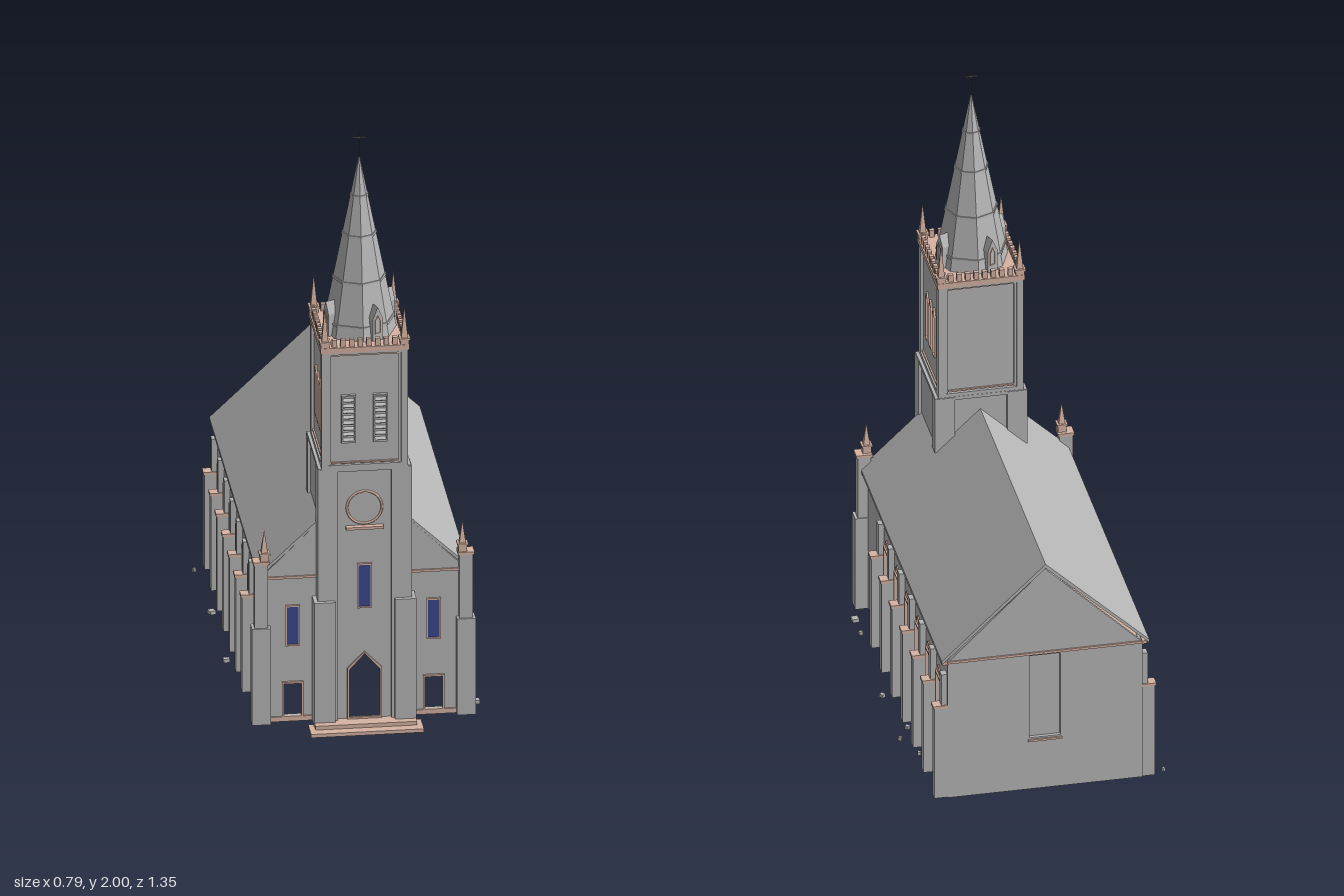
import * as THREE from 'three';

const mat = (name, color, side = THREE.FrontSide) => {
  const m = new THREE.MeshStandardMaterial({ color, side });
  m.name = name;
  return m;
};

export function createModel() {
  const stone = mat('stone', 0xb6b6b6, THREE.DoubleSide);
  const trim = mat('sandstone trim', 0xd6b3a3);
  const glass = mat('blue glass', 0x384a8c, THREE.DoubleSide);
  const dark = mat('dark iron', 0x555555);
  const root = new THREE.Group();
  root.name = 'church';

  const add = (parent, name, geo, material, x = 0, y = 0, z = 0) => {
    const m = new THREE.Mesh(geo, material);
    m.name = name;
    m.position.set(x, y, z);
    parent.add(m);
    return m;
  };
  // Box from its limits
  const box = (parent, name, material, x0, x1, y0, y1, z0, z1) =>
    add(parent, name, new THREE.BoxGeometry(Math.abs(x1 - x0), y1 - y0, z1 - z0),
      material, (x0 + x1) / 2, (y0 + y1) / 2, (z0 + z1) / 2);
  const group = (name, parent = root) => {
    const g = new THREE.Group();
    g.name = name;
    parent.add(g);
    return g;
  };
  const points = list => list.map(([x, y]) => new THREE.Vector2(x, y));
  // Pointed or square-headed outline, centred on x, standing on y
  const lancet = (x, y, w, h, p = 0) => {
    const a = [[x - w / 2, y], [x + w / 2, y], [x + w / 2, y + h]];
    if (p) a.push([x, y + h + p]);
    a.push([x - w / 2, y + h]);
    return points(a);
  };
  const plate = (outline, holes, depth) => {
    const s = new THREE.Shape(outline);
    holes.forEach(h => s.holes.push(new THREE.Path(h)));
    return new THREE.ExtrudeGeometry(s, { depth, bevelEnabled: false });
  };
  // Thin border around an opening
  const frame = (parent, name, x, y, w, h, p, z, t = 0.006, d = 0.008) =>
    add(parent, name, plate(lancet(x, y - t, w + 2 * t, h + 2 * t, p), [lancet(x, y, w, h, p)], d), trim, 0, 0, z);
  const pinnacle = (parent, x, y, z, r, h) => {
    box(parent, 'pinnacleBase', trim, x - r, x + r, y, y + h * 0.25, z - r, z + r);
    const cone = new THREE.ConeGeometry(r * 1.1, h * 0.75, 4).toNonIndexed();
    cone.rotateY(Math.PI / 4);
    cone.computeVertexNormals();
    add(parent, 'pinnacle', cone, trim, x, y + h * 0.625, z);
    box(parent, 'pinnacleCollar', trim, x - r * 1.25, x + r * 1.25, y + h * 0.22, y + h * 0.27, z - r * 1.25, z + r * 1.25);
  };

  // Nave side walls with paired windows and stepped buttresses
  const W = 0.315, Y0 = 0.012, EAVE = 0.508;
  const windowZ = [0.233, 0.074, -0.085, -0.243, -0.402, -0.556];
  const buttressZ = [0.31, 0.153, -0.005, -0.164, -0.323, -0.482, -0.647];
  for (const s of [1, -1]) {
    const side = group(s > 0 ? 'leftSide' : 'rightSide');
    side.rotation.y = s * Math.PI / 2;
    const u = z => -s * z;
    const holes = windowZ.map(z => lancet(u(z), 0.158, 0.076, 0.232));
    const ends = [u(-0.667), u(0.555)].sort((a, b) => a - b);
    add(side, 'naveWall', plate(points([[ends[0], Y0], [ends[1], Y0], [ends[1], EAVE], [ends[0], EAVE]]), holes, 0.008),
      stone, 0, 0, W - 0.008);
    for (const z of windowZ) {
      const c = u(z);
      frame(side, 'windowFrame', c, 0.158, 0.076, 0.232, 0, W);
      box(side, 'windowSill', trim, c - 0.047, c + 0.047, 0.148, 0.156, W, W + 0.014);
      box(side, 'mullion', trim, c - 0.004, c + 0.004, 0.158, 0.39, W - 0.022, W - 0.012);
      for (const k of [-1, 1]) {
        box(side, 'windowPane', glass, c + k * 0.004, c + k * 0.038, 0.158, 0.39, W - 0.022, W - 0.017);
        frame(side, 'windowHead', c + k * 0.019, 0.402, 0.028, 0.008, 0.014, W, 0.003, 0.004);
      }
    }
    for (const z of buttressZ) {
      const c = u(z);
      box(side, 'upperButtress', stone, c - 0.014, c + 0.014, 0.34, 0.462, W - 0.005, 0.334);
      box(side, 'lowerButtress', stone, c - 0.016, c + 0.016, Y0, 0.34, W - 0.005, 0.357);
      box(side, 'buttressCap', trim, c - 0.018, c + 0.018, 0.34, 0.35, W - 0.005, 0.361);
    }
    box(side, 'eaveMoulding', trim, ends[0], ends[1], EAVE - 0.008, EAVE + 0.003, W, W + 0.016);
  }

  // Rear gable with a recessed blind window
  const gable = points([[-W, Y0], [W, Y0], [W, EAVE], [0, 0.815], [-W, EAVE]]);
  add(root, 'rearWall', plate(gable, [lancet(0, 0.2, 0.1, 0.3)], 0.012), stone, 0, 0, -0.667);
  box(root, 'rearBlindPanel', stone, -0.055, 0.055, 0.195, 0.505, -0.654, -0.648);
  box(root, 'rearSill', trim, -0.055, 0.055, 0.187, 0.194, -0.672, -0.667);
  box(root, 'rearBand', trim, -W, W, 0.505, 0.513, -0.672, -0.667);

  // Pitched roof over a flat ceiling
  const roofShape = points([[0.336, 0.508], [0.336, 0.52], [0, 0.837], [-0.336, 0.52], [-0.336, 0.508], [0, 0.822]]);
  add(root, 'roof', plate(roofShape, [], 1.236), stone, 0, 0, -0.677);
  box(root, 'ceiling', trim, -W, W, 0.5, 0.506, -0.655, 0.3);

  // Front facade with side doors and windows
  const facade = group('facade');
  for (const s of [-1, 1]) {
    const wing = points([[s * 0.14, Y0], [s * W, Y0], [s * W, EAVE + 0.015], [s * 0.14, 0.697]]);
    const c = s * 0.225;
    add(facade, 'facadeWall', plate(wing, [lancet(c, 0.03, 0.056, 0.112)], 0.012), stone, 0, 0, 0.548);
    frame(facade, 'sideDoorFrame', c, 0.03, 0.056, 0.112, 0, 0.56);
    box(facade, 'facadeWindow', glass, c - 0.018, c + 0.018, 0.278, 0.408, 0.56, 0.564);
    frame(facade, 'facadeWindowFrame', c, 0.278, 0.036, 0.13, 0, 0.56, 0.005);
    box(facade, 'facadeBand', trim, s * 0.15, s * 0.305, 0.505, 0.513, 0.56, 0.565);
    box(facade, 'facadePlinth', trim, s * 0.15, s * 0.305, Y0, 0.028, 0.56, 0.566);
    // Corner buttresses
    box(facade, 'cornerButtress', stone, s * 0.305, s * 0.348, Y0, 0.572, 0.543, 0.58);
    box(facade, 'cornerButtressBase', stone, s * 0.297, s * 0.357, Y0, 0.345, 0.54, 0.586);
    box(facade, 'cornerButtressCap', trim, s * 0.3, s * 0.353, 0.565, 0.575, 0.54, 0.584);
    pinnacle(facade, s * 0.316, 0.575, 0.565, 0.014, 0.105);
  }

  // Tower, lower stage: four walls with an open arched doorway
  const tower = group('tower');
  const TZ = 0.457, F = 0.595, B = 0.315;
  add(tower, 'towerFrontWall', plate(points([[-0.14, Y0], [0.14, Y0], [0.14, 0.895], [-0.14, 0.895]]),
    [lancet(0, 0.025, 0.098, 0.17, 0.055)], 0.012), stone, 0, 0, F - 0.012);
  frame(tower, 'mainDoorFrame', 0, 0.031, 0.098, 0.164, 0.055, F);
  box(tower, 'towerRearWall', stone, -0.14, 0.14, 0.5, 0.895, B, B + 0.012);
  box(tower, 'frontWindow', glass, -0.019, 0.019, 0.413, 0.557, F, F + 0.004);
  frame(tower, 'frontWindowFrame', 0, 0.413, 0.038, 0.144, 0, F, 0.005);
  add(tower, 'roundOpeningRing', new THREE.TorusGeometry(0.056, 0.004, 6, 32), trim, 0, 0.755, F + 0.001);
  box(tower, 'roundOpeningSill', trim, -0.06, 0.06, 0.684, 0.693, F, F + 0.018);
  for (const s of [-1, 1]) {
    box(tower, 'towerSideWall', stone, s * 0.128, s * 0.14, Y0, 0.895, B, F);
    box(tower, 'frontPilaster', stone, s * 0.085, s * 0.15, Y0, 0.895, 0.55, 0.607);
    box(tower, 'rearPilaster', stone, s * 0.085, s * 0.15, 0.7, 0.895, 0.302, 0.345);
    box(tower, 'towerButtress', stone, s * 0.095, s * 0.163, Y0, 0.44, 0.55, 0.621);
  }
  box(tower, 'lowerStageTop', stone, -0.148, 0.148, 0.885, 0.897, 0.304, 0.606);

  // Tower, belfry stage
  box(tower, 'belfryCore', stone, -0.128, 0.128, 0.89, 1.3, TZ - 0.142, TZ + 0.142);
  for (let i = 0; i < 4; i++) {
    const face = group('belfryFace', tower);
    face.position.z = TZ;
    face.rotation.y = i * Math.PI / 2;
    const onSide = i % 2;
    const half = onSide ? 0.15 : 0.138, d = onSide ? 0.128 : 0.142;
    frame(face, 'panelFrame', 0, 0.918, 2 * half - 0.052, 0.368, 0, d, 0.005, 0.005);
    for (const s of [-1, 1])
      box(face, 'belfryPilaster', stone, s * (half - 0.022), s * half, 0.895, 1.3, d - 0.02, d + 0.01);
    box(face, 'belfryFoot', stone, -half, half, 0.895, 0.91, d - 0.01, d + 0.01);
    box(face, 'belfryHead', stone, -half, half, 1.292, 1.302, d - 0.01, d + 0.01);
    if (i === 0) {
      // Louvred openings
      for (const x of [-0.052, 0.05]) {
        const w = 0.036;
        add(face, 'louvreSurround', plate(lancet(x, 0.985, w + 0.01, 0.165), [lancet(x, 0.99, w, 0.155)], 0.01), stone, 0, 0, d);
        for (let k = 0; k < 8; k++) {
          const slat = box(face, 'louvreSlat', stone, x - w / 2, x + w / 2, 0.994 + k * 0.0195, 0.997 + k * 0.0195, d - 0.005, d + 0.012);
          slat.rotation.x = 0.5;
        }
      }
    } else if (onSide) {
      for (const x of [-0.052, 0, 0.052])
        frame(face, 'blindLancet', x, 1.0, 0.026, 0.14, 0.028, d, 0.004, 0.006);
    }
  }

  // Parapet with battlements and corner pinnacles
  box(tower, 'cornice', trim, -0.142, 0.142, 1.3, 1.318, TZ - 0.155, TZ + 0.155);
  for (let i = 0; i < 4; i++) {
    const edge = group('battlement', tower);
    edge.position.z = TZ;
    edge.rotation.y = i * Math.PI / 2;
    const half = i % 2 ? 0.15 : 0.138, d = i % 2 ? 0.138 : 0.15;
    for (let k = 0; k < 10; k++) {
      const x = -half + (k + 0.5) * half / 5;
      box(edge, 'merlon', trim, x - 0.008, x + 0.008, 1.316, 1.343, d - 0.014, d);
    }
  }
  for (const x of [-0.127, 0.127])
    for (const z of [-0.14, 0.14]) pinnacle(tower, x, 1.3, TZ + z, 0.014, 0.148);

  // Octagonal spire with raised bands and four dormers
  const spire = group('spire');
  spire.position.z = TZ;
  const eightSided = (r0, r1, h) => {
    const g = new THREE.CylinderGeometry(r0, r1, h, 8).toNonIndexed();
    g.computeVertexNormals();
    return g;
  };
  const radiusAt = y => 0.12 * (1.915 - y) / 0.599;
  add(spire, 'spireBody', eightSided(0.001, 0.12, 0.599), stone, 0, 1.6155, 0);
  for (const y of [1.36, 1.5, 1.65, 1.78])
    add(spire, 'spireBand', eightSided(radiusAt(y) + 0.003, radiusAt(y) + 0.004, 0.008), stone, 0, y, 0);
  for (let i = 0; i < 4; i++) {
    const dormer = group('dormer', spire);
    dormer.rotation.y = Math.PI / 8 + i * Math.PI / 2;
    add(dormer, 'dormerBody', plate(lancet(0, 1.318, 0.036, 0.075, 0.04), [], 0.055), stone, 0, 0, 0.066);
    frame(dormer, 'dormerFrame', 0, 1.345, 0.016, 0.04, 0.018, 0.121, 0.003, 0.003);
  }
  box(spire, 'crossPost', dark, -0.002, 0.002, 1.9, 2.0, -0.002, 0.002);
  box(spire, 'crossArm', dark, -0.022, 0.022, 1.973, 1.978, -0.002, 0.002);

  // Entrance steps
  box(root, 'lowerStep', trim, -0.18, 0.18, 0, 0.012, 0.6, 0.677);
  box(root, 'upperStep', trim, -0.162, 0.162, 0.012, 0.025, 0.58, 0.645);

  // Loose stones around the walls: x, z, size
  [[-0.39, -0.635, 0.01], [-0.375, -0.305, 0.022], [-0.375, 0.07, 0.02], [0.345, -0.375, 0.012], [0.385, -0.275, 0.011],
    [0.348, -0.21, 0.014], [0.384, 0, 0.015], [0.37, 0.395, 0.012], [0.37, 0.482, 0.024]].forEach(([x, z, r], i) => {
    const rock = add(root, 'looseStone', new THREE.BoxGeometry(r, 0.012, r * 0.9), stone, x, 0.012, z);
    rock.rotation.y = 0.7 + i * 1.3;
  });
  return root;
}
